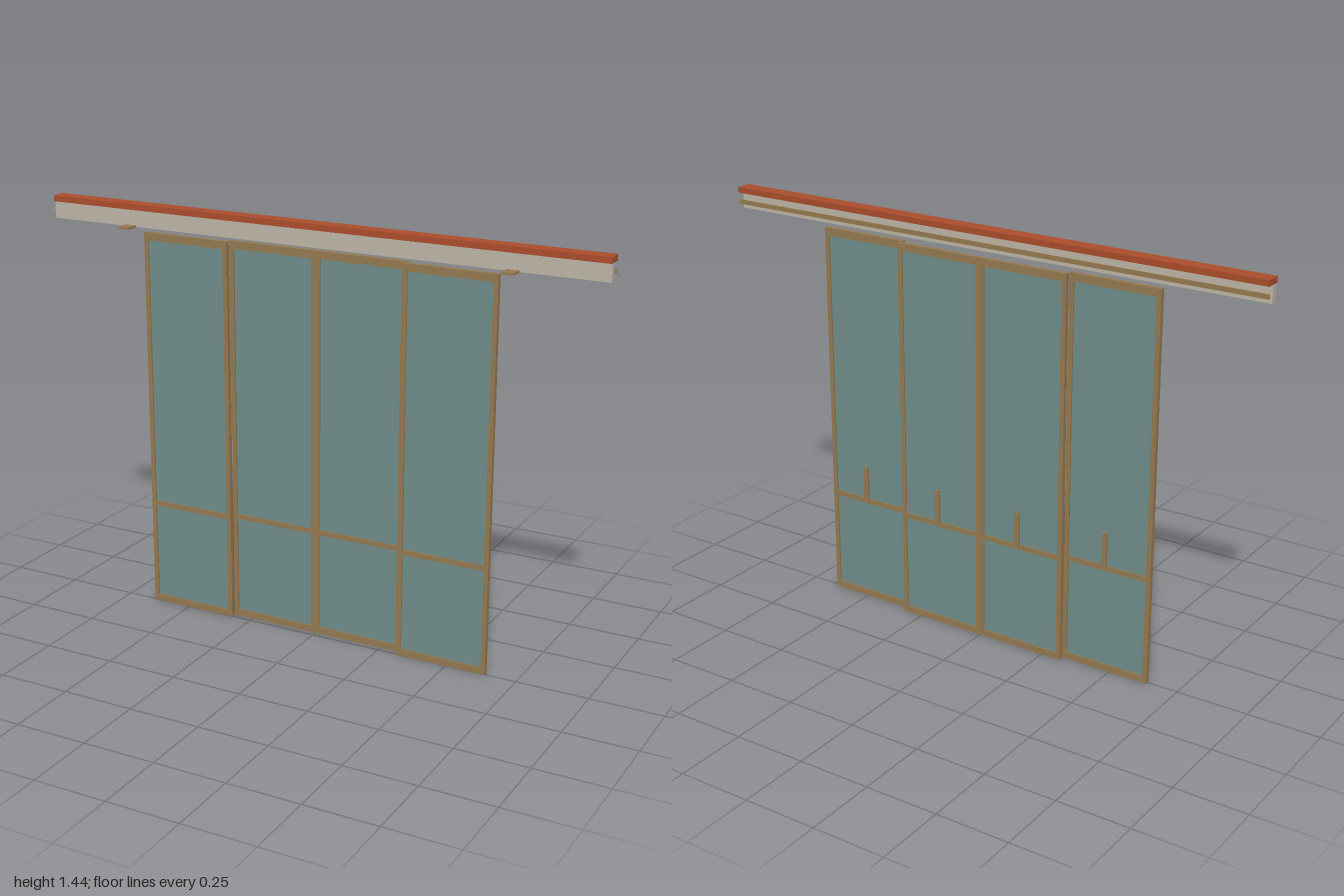
import * as THREE from 'three';

const mat = (name, color) => {
  const m = new THREE.MeshStandardMaterial({ color });
  m.name = name;
  return m;
};

export function createModel() {
  const wood = mat('bronze wood', 0x94784f);
  const glass = mat('teal glass', 0x6f8d89);
  const red = mat('brick red', 0xaa4c2c);
  const beige = mat('beige', 0xbcb4a5);

  const model = new THREE.Group();
  model.name = 'slidingDoor';

  // Box given by its lower and upper limits on each axis
  const box = (parent, name, material, [x0, x1], [y0, y1], [z0, z1]) => {
    const mesh = new THREE.Mesh(new THREE.BoxGeometry(x1 - x0, y1 - y0, z1 - z0), material);
    mesh.position.set((x0 + x1) / 2, (y0 + y1) / 2, (z0 + z1) / 2);
    mesh.name = name;
    parent.add(mesh);
  };

  // Header: cap, fascia beam and rear running rail
  box(model, 'headerCap', red, [-1, 1], [1.42, 1.44], [-0.036, 0.016]);
  box(model, 'fascia', beige, [-1, 1], [1.362, 1.42], [-0.011, 0.009]);
  box(model, 'rearRail', wood, [-1, 1], [1.381, 1.396], [-0.034, -0.029]);

  // Small brackets under the fascia
  for (const s of [-1, 1]) {
    box(model, 'bracket', wood, [s * 0.69 - 0.02, s * 0.69 + 0.02], [1.36, 1.367], [0.009, 0.055]);
  }

  // One framed glass leaf with its pull bar behind
  const addLeaf = (name, cx, z) => {
    const leaf = new THREE.Group();
    leaf.name = name;
    leaf.position.set(cx, 0, z);
    const w = 0.161, stile = 0.016, d = 0.008, top = 1.346;
    const inner = [-w + stile, w - stile];
    box(leaf, 'leftStile', wood, [w - stile, w], [0, top], [-d, d]);
    box(leaf, 'rightStile', wood, [-w, -w + stile], [0, top], [-d, d]);
    box(leaf, 'bottomRail', wood, inner, [0, 0.024], [-d, d]);
    box(leaf, 'middleRail', wood, inner, [0.366, 0.384], [-d, d]);
    box(leaf, 'topRail', wood, inner, [top - 0.026, top], [-d, d]);
    box(leaf, 'glassPane', glass, inner, [0.024, top - 0.026], [-0.003, 0.003]);
    box(leaf, 'pullBar', wood, [-0.009, 0.009], [0.39, 0.51], [-0.029, -0.021]);
    model.add(leaf);
  };

  // Outer leaves run on the front track, inner leaves on the back track
  for (const [s, side] of [[1, 'left'], [-1, 'right']]) {
    addLeaf(side + 'OuterLeaf', s * 0.481, -0.004);
    addLeaf(side + 'InnerLeaf', s * 0.161, -0.026);
  }
  return model;
}
